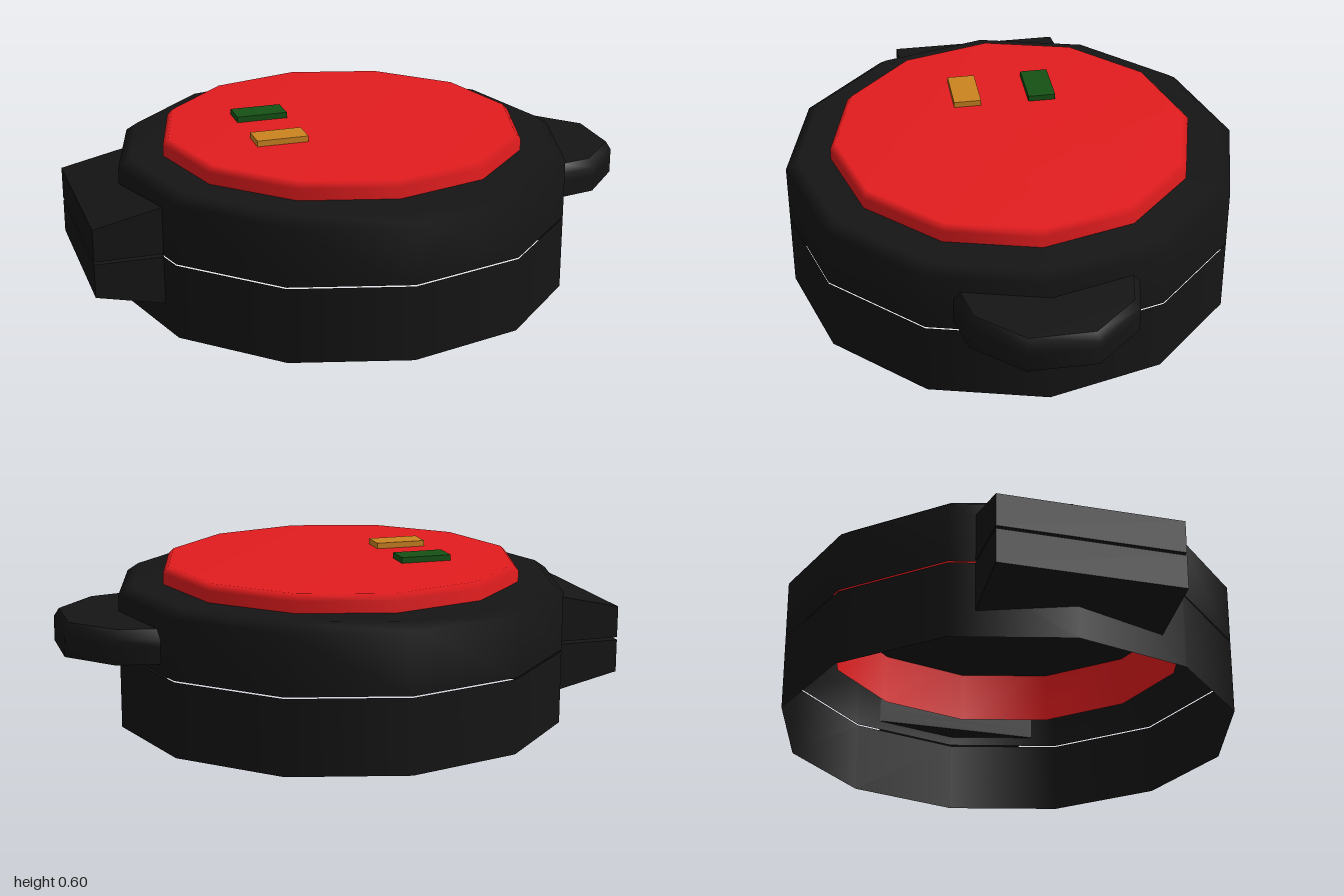
import * as THREE from 'three';
import { toCreasedNormals } from 'three/addons/utils/BufferGeometryUtils.js';

const CX = -0.03; // the round body sits slightly off centre
const SIDES = 12;

const paint = (color, side = THREE.FrontSide) => new THREE.MeshStandardMaterial({ color, side });

export function createModel() {
  const model = new THREE.Group();
  const black = paint(0x151515);
  const blackShell = paint(0x151515, THREE.DoubleSide);
  const red = paint(0xe31c1e, THREE.DoubleSide);

  const add = (name, geometry, material, x = 0, y = 0, z = 0) => {
    const mesh = new THREE.Mesh(geometry, material);
    mesh.name = name;
    mesh.position.set(x, y, z);
    model.add(mesh);
    return mesh;
  };

  // Twelve-sided turned part from [radius, height] pairs, bottom to top
  const turned = (name, profile, material) =>
    add(name, new THREE.LatheGeometry(profile.map(([r, y]) => new THREE.Vector2(r, y)), SIDES), material, CX);

  // Open lower ring, and upper shell closed by a flat top, with a thin seam between
  turned('lowerShell', [[0.817, 0], [0.817, 0.267]], blackShell);
  turned('upperShell', [[0.817, 0.272], [0.817, 0.485], [0.775, 0.514], [0, 0.514]], blackShell);

  // Red lid: a cup that reaches down inside the shell
  turned('lid', [[0.655, 0.32], [0.655, 0.555], [0.635, 0.577], [0, 0.577]], red);

  // Hinge: two tapered blocks, one on each half
  const hingeBlock = (name, corners) => {
    const shape = new THREE.Shape(corners.map(([x, y]) => new THREE.Vector2(x, y)));
    const geometry = new THREE.ExtrudeGeometry(shape, { depth: 0.64, bevelEnabled: false });
    add(name, geometry, black, 0, 0, -0.32);
  };
  hingeBlock('upperHinge', [[-1, 0.277], [-0.76, 0.277], [-0.76, 0.447], [-1, 0.393]]);
  hingeBlock('lowerHinge', [[-1, 0.147], [-0.76, 0.093], [-0.76, 0.267], [-1, 0.267]]);

  // Thumb tab: outline in (x, z), extruded upward, top edge drawn in to a bevel
  const outline = [[0.7, 0.315], [0.85, 0.285], [1, 0.12], [1, -0.12], [0.85, -0.285], [0.7, -0.315]];
  const tabShape = new THREE.Shape(outline.map(([x, z]) => new THREE.Vector2(x, -z)));
  const tabGeometry = new THREE.ExtrudeGeometry(tabShape, { depth: 0.12, steps: 4, bevelEnabled: false });
  tabGeometry.rotateX(-Math.PI / 2);
  const p = tabGeometry.attributes.position;
  for (let i = 0; i < p.count; i++) {
    if (p.getY(i) < 0.115) continue;
    p.setX(i, 0.7 + (p.getX(i) - 0.7) * 0.94);
    p.setZ(i, p.getZ(i) * 0.93);
  }
  add('thumbTab', toCreasedNormals(tabGeometry, 0.9), black, 0, 0.307, 0);

  // Two small indicator lights on the lid
  for (const [name, color, z] of [['greenLight', 0x155215, -0.142], ['amberLight', 0xcc8420, 0.135]]) {
    add(name, new THREE.BoxGeometry(0.185, 0.04, 0.1), paint(color), -0.297, 0.578, z);
  }

  return model;
}
